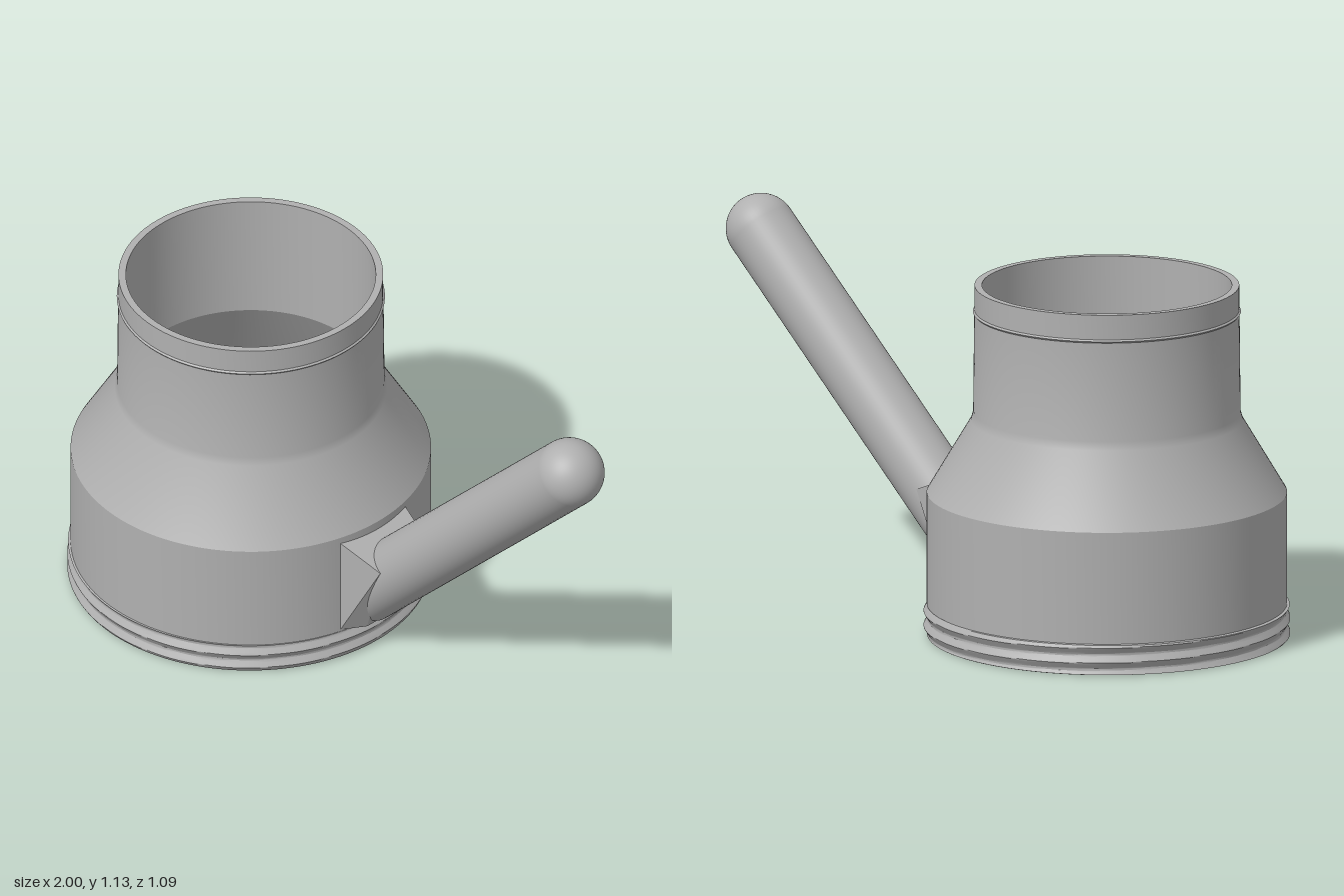
import * as THREE from 'three';
import { toCreasedNormals } from 'three/addons/utils/BufferGeometryUtils.js';
import { ConvexGeometry } from 'three/addons/geometries/ConvexGeometry.js';

const AXIS_X = -0.455; // centre line of the round body

export function createModel() {
  const group = new THREE.Group();
  const gray = new THREE.MeshStandardMaterial({ color: 0xb0b0b0 });
  gray.name = 'gray';

  const add = (name, geometry, x = 0, y = 0) => {
    const mesh = new THREE.Mesh(geometry, gray);
    mesh.name = name;
    mesh.position.set(x, y, 0);
    group.add(mesh);
    return mesh;
  };

  // Hollow funnel: up the outside, over the rim and down the inside
  const profile = [
    [0.512, 0], [0.531, 0], [0.531, 0.095], [0.535, 0.095], [0.535, 0.435],
    [0.404, 0.655], [0.397, 0.68], [0.394, 0.98], [0.398, 0.985], [0.393, 0.99],
    [0.393, 1.065], [0.371, 1.065], [0.371, 0.67], [0.512, 0.43], [0.512, 0],
  ].map(([r, y]) => new THREE.Vector2(r, y));
  add('funnelBody', toCreasedNormals(new THREE.LatheGeometry(profile, 128), 0.45), AXIS_X);

  // Screw thread: a sleeve whose radius follows a helical ridge
  const threadHeight = 0.095, pitch = 0.045;
  const thread = new THREE.CylinderGeometry(1, 1, threadHeight, 128, 38, true);
  thread.translate(0, threadHeight / 2, 0);
  const tp = thread.attributes.position;
  for (let i = 0; i < tp.count; i++) {
    const x = tp.getX(i), y = tp.getY(i), z = tp.getZ(i);
    const turn = Math.atan2(x, z) / (2 * Math.PI);
    const phase = (y - 0.0125) / pitch - turn;
    const fromCrest = Math.abs(phase - Math.round(phase)) * 2;
    const atEnd = y < 1e-4 || y > threadHeight - 1e-4;
    const r = atEnd ? 0.531 : 0.533 + 0.012 * Math.max(0, 1 - fromCrest * 1.15);
    tp.setXYZ(i, x * r, y, z * r);
  }
  add('screwThread', toCreasedNormals(thread, 0.4), AXIS_X);

  // Slanted handle, its lower end trimmed to meet the wall
  const R = 0.105, endX = 0.895, endY = 1.03, length = 1;
  const shaft = new THREE.CylinderGeometry(R, R, length, 48);
  shaft.translate(0, -length / 2, 0);
  const sp = shaft.attributes.position;
  for (let i = 0; i < sp.count; i++) {
    if (sp.getY(i) > -length / 2) continue;
    const lx = sp.getX(i);
    const trimX = 0.095 + 0.02 * lx / R;
    sp.setY(i, Math.SQRT2 * (trimX - endX) - lx);
  }
  add('handleShaft', shaft, endX, endY).rotation.z = -Math.PI / 4;

  // Rounded handle tip
  const tip = new THREE.SphereGeometry(R, 48, 16, 0, Math.PI * 2, 0, Math.PI / 2);
  add('handleTip', tip, endX, endY).rotation.z = -Math.PI / 4;

  // Tapered bracket joining the handle to the body
  const corners = [];
  for (const s of [1, -1]) {
    corners.push(
      new THREE.Vector3(0.062, 0.415, s * 0.135),
      new THREE.Vector3(0.062, 0.1, s * 0.135),
      new THREE.Vector3(0.2, 0.36, s * 0.104),
      new THREE.Vector3(0.105, 0.1, s * 0.065),
    );
  }
  add('handleBracket', new ConvexGeometry(corners));

  return group;
}
